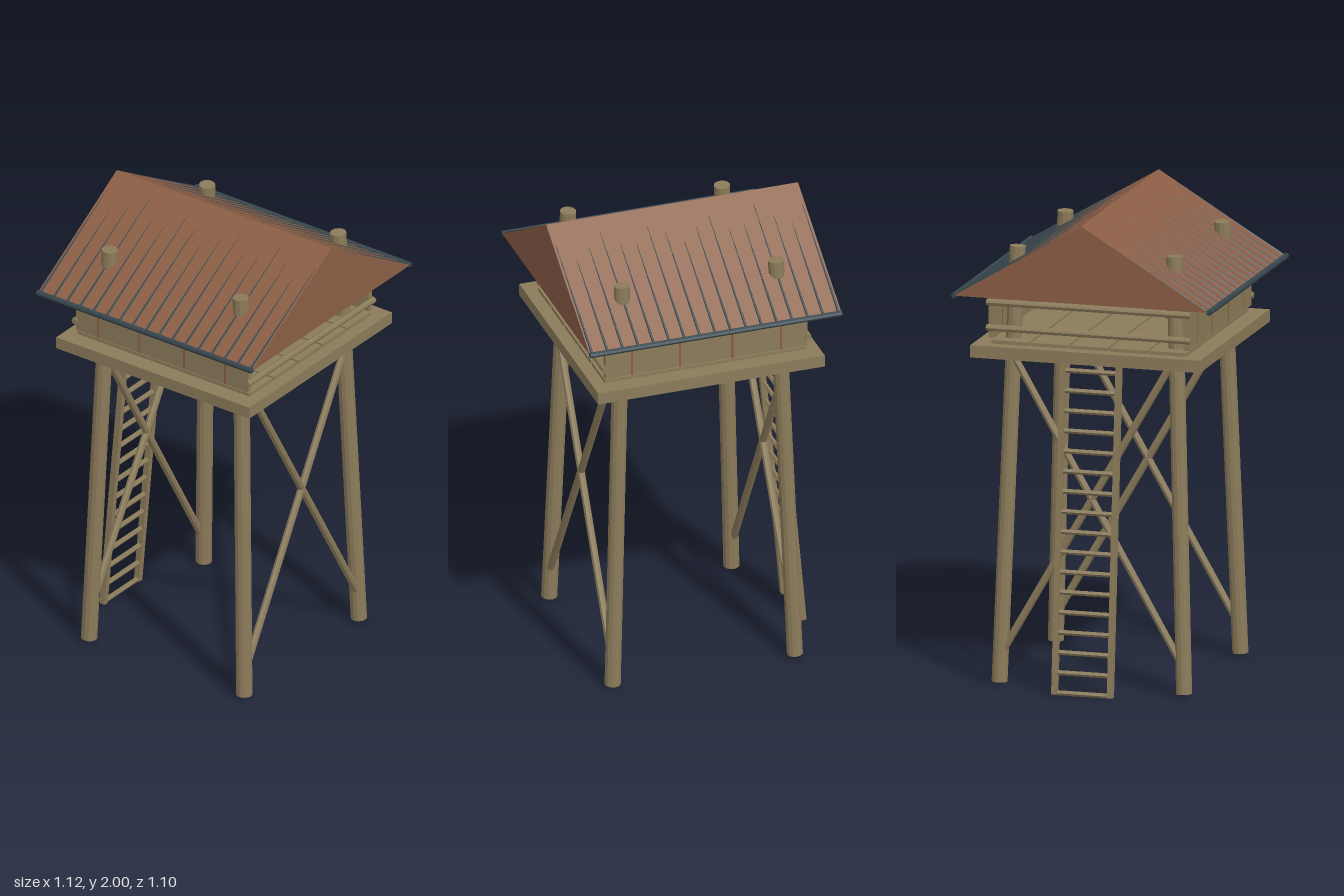
import * as THREE from 'three';

const mat = (name, color) => {
  const m = new THREE.MeshStandardMaterial({ color, flatShading: true });
  m.name = name;
  return m;
};

export function createModel() {
  const wood = mat('weathered wood', 0x8b7b5a);
  const roofBrown = mat('roof brown', 0x8b5e45);
  roofBrown.side = THREE.DoubleSide;
  const slate = mat('slate metal', 0x36454c);

  const root = new THREE.Group();
  root.name = 'watchtower';
  const group = (name) => {
    const g = new THREE.Group();
    g.name = name;
    root.add(g);
    return g;
  };
  const add = (parent, name, geo, m, x = 0, y = 0, z = 0) => {
    const mesh = new THREE.Mesh(geo, m);
    mesh.name = name;
    mesh.position.set(x, y, z);
    parent.add(mesh);
    return mesh;
  };
  const box = (parent, name, m, w, h, d, x, y, z) =>
    add(parent, name, new THREE.BoxGeometry(w, h, d), m, x, y, z);
  // Round bar between two points, optionally tapered
  const bar = (parent, name, m, a, b, r, sides = 8, rEnd = r) => {
    const p = new THREE.Vector3(...a), q = new THREE.Vector3(...b);
    const dir = q.clone().sub(p);
    const mesh = add(parent, name, new THREE.CylinderGeometry(rEnd, r, dir.length(), sides), m);
    mesh.position.copy(p).add(q).multiplyScalar(0.5);
    mesh.quaternion.setFromUnitVectors(new THREE.Vector3(0, 1, 0), dir.normalize());
    return mesh;
  };

  // Legs lean inward and run up through the roof
  const legs = group('legs');
  for (const sx of [-1, 1]) for (const sz of [-1, 1])
    bar(legs, 'leg', wood, [sx * 0.398, 0.015, sz * 0.398], [sx * 0.338, 1.85, sz * 0.336], 0.034, 12);

  // Crossed braces on front and back
  const braces = group('crossBraces');
  for (const sz of [-1, 1]) for (const sx of [-1, 1])
    bar(braces, 'brace', wood, [sx * 0.375, 0.16, sz * 0.4], [-sx * 0.345, 1.41, sz * 0.395], 0.016);

  // Platform and floor boards
  const deck = group('platform');
  box(deck, 'platformSlab', wood, 0.99, 0.052, 0.99, 0, 1.426, 0);
  for (let i = -2; i <= 2; i++)
    box(deck, 'floorBoard', wood, 0.16, 0.015, 0.88, i * 0.17, 1.459, 0);

  // Ladder leaning on the back
  const ladder = group('ladder');
  const ladderZ = (y) => -0.53 + 0.125 * (y / 1.4);
  for (const sx of [-1, 1]) {
    const rail = box(ladder, 'ladderRail', wood, 0.024, 1.415, 0.026, sx * 0.12, 0.712, ladderZ(0.712));
    rail.rotation.x = Math.atan(0.125 / 1.4);
  }
  for (let i = 0; i < 17; i++) {
    const y = 0.014 + i * 0.0837;
    bar(ladder, 'rung', wood, [-0.12, y, ladderZ(y)], [0.12, y, ladderZ(y)], 0.011, 6);
  }

  // Side walls made of panels with narrow brown joints
  const walls = group('sideWalls');
  const joints = [-0.445, -0.325, -0.115, 0.115, 0.325, 0.445];
  for (const sx of [-1, 1]) {
    for (let i = 0; i < 5; i++) {
      const a = joints[i], b = joints[i + 1];
      box(walls, 'wallPanel', wood, 0.024, 0.215, b - a - 0.008, sx * 0.42, 1.585, (a + b) / 2);
      if (i) box(walls, 'wallJoint', roofBrown, 0.026, 0.215, 0.009, sx * 0.42, 1.585, a);
    }
  }

  // Guard rails on the open ends
  const rails = group('guardRails');
  for (const sz of [-1, 1]) for (const y of [1.52, 1.628])
    bar(rails, 'guardRail', wood, [-0.44, y, sz * 0.443], [0.44, y, sz * 0.443], 0.014);

  // Small banded crate on the floor
  const crate = group('crate');
  box(crate, 'crateBody', wood, 0.118, 0.14, 0.118, -0.222, 1.538, 0.205);
  for (const y of [1.476, 1.6])
    box(crate, 'crateBand', slate, 0.128, 0.013, 0.128, -0.222, y, 0.205);

  // Roof shell: two slopes and two gable ends, open below
  const roof = group('roof');
  const W = 0.55, D = 0.55, EAVE = 1.67, TOP = 2;
  const face = (name, pts) => {
    const g = new THREE.BufferGeometry();
    g.setAttribute('position', new THREE.Float32BufferAttribute(pts.flat(), 3));
    g.setIndex(pts.length === 4 ? [0, 1, 2, 0, 2, 3] : [0, 1, 2]);
    g.computeVertexNormals();
    add(roof, name, g, roofBrown);
  };
  for (const s of [-1, 1]) {
    face('roofSlope', [[s * W, EAVE, s * D], [s * W, EAVE, -s * D], [0, TOP, -s * D], [0, TOP, s * D]]);
    face('gable', [[-s * W, EAVE, s * D], [s * W, EAVE, s * D], [0, TOP, s * D]]);
    bar(roof, 'gutter', slate, [s * W, EAVE, -D], [s * W, EAVE, D], 0.012);
  }

  // Tapering seams sinking into the slopes; list gives the inner end from the middle out
  const seamEnds = [0.16, 0.105, 0.075, 0.14, 0.127, 0.06, 0.117, 0.157, 0.09];
  const slopeY = (x) => TOP - (TOP - EAVE) * x / W;
  for (const s of [-1, 1]) for (let i = -8; i <= 8; i++) {
    const end = seamEnds[Math.abs(i)], z = i * 0.0673;
    bar(roof, 'roofSeam', slate, [s * W, EAVE, z], [s * end, slopeY(end), z], 0.006, 6, 0.001);
  }
  return root;
}
